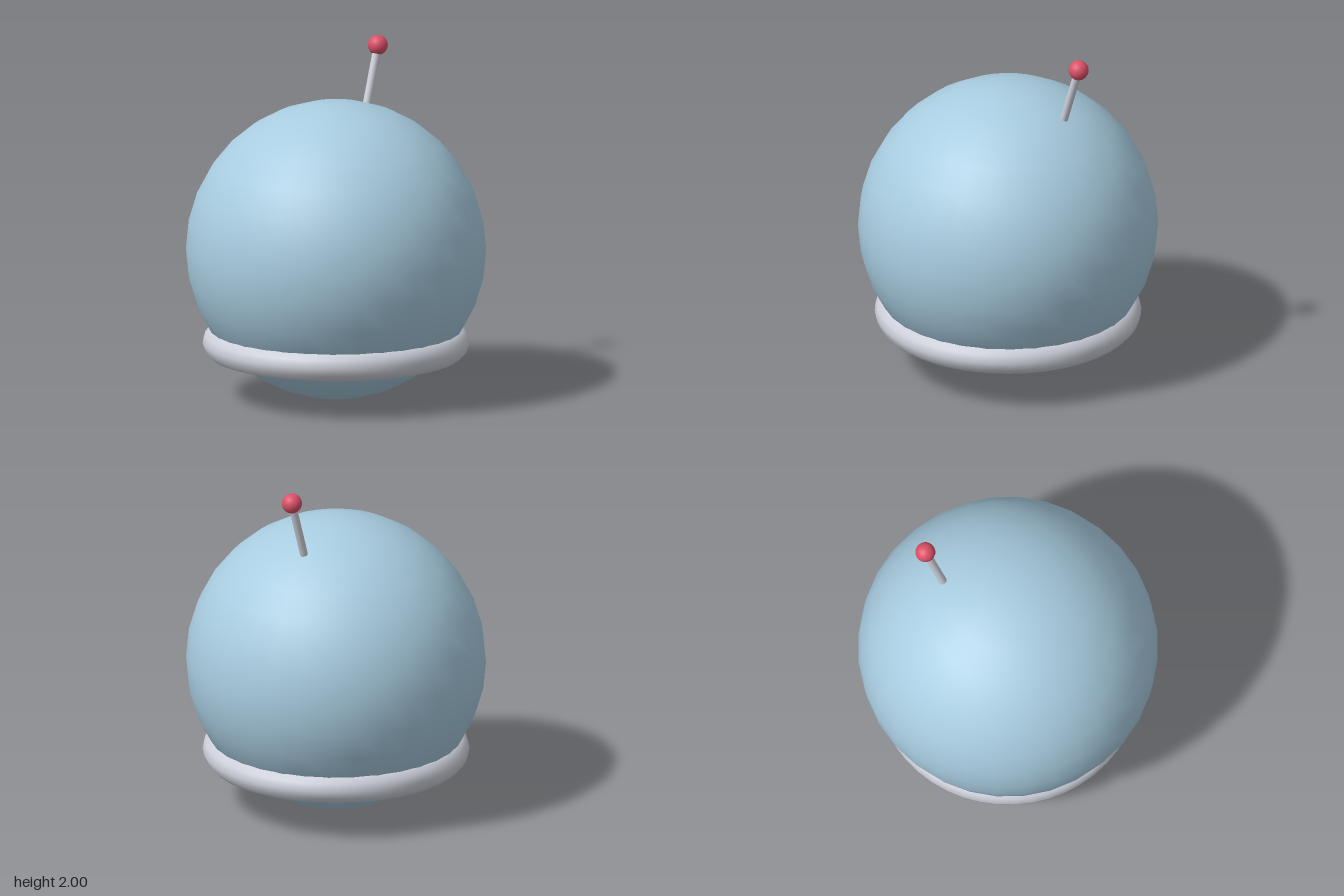
import * as THREE from 'three';

const makeMaterial = (name, color) => {
  const m = new THREE.MeshStandardMaterial({ color });
  m.name = name;
  return m;
};

export function createModel() {
  const group = new THREE.Group();
  group.name = 'bubbleHelmet';

  const blue = makeMaterial('paleBlue', 0xa8cce0);
  const grey = makeMaterial('lightGrey', 0xcdd0da);
  const red = makeMaterial('red', 0xdc5068);

  const add = (name, geometry, material, position) => {
    const mesh = new THREE.Mesh(geometry, material);
    mesh.name = name;
    mesh.position.copy(position);
    group.add(mesh);
    return mesh;
  };

  // Round dome
  add('dome', new THREE.SphereGeometry(0.85, 32, 16), blue, new THREE.Vector3(0, 0.855, 0));

  // Neck ring
  const ring = add('neckRing', new THREE.TorusGeometry(0.665, 0.09, 12, 48), grey, new THREE.Vector3(0, 0.32, 0));
  ring.rotation.x = Math.PI / 2;

  // Leaning antenna, rooted inside the dome
  const tip = new THREE.Vector3(0.495, 1.943, -0.06);
  const root = new THREE.Vector3(0.37, 1.57, -0.06);
  const axis = tip.clone().sub(root);
  const rod = add('antennaRod', new THREE.CylinderGeometry(0.023, 0.023, axis.length(), 12), grey,
    root.clone().add(tip).multiplyScalar(0.5));
  rod.quaternion.setFromUnitVectors(new THREE.Vector3(0, 1, 0), axis.normalize());

  // Antenna ball
  add('antennaBall', new THREE.SphereGeometry(0.057, 20, 14), red, tip);

  return group;
}
